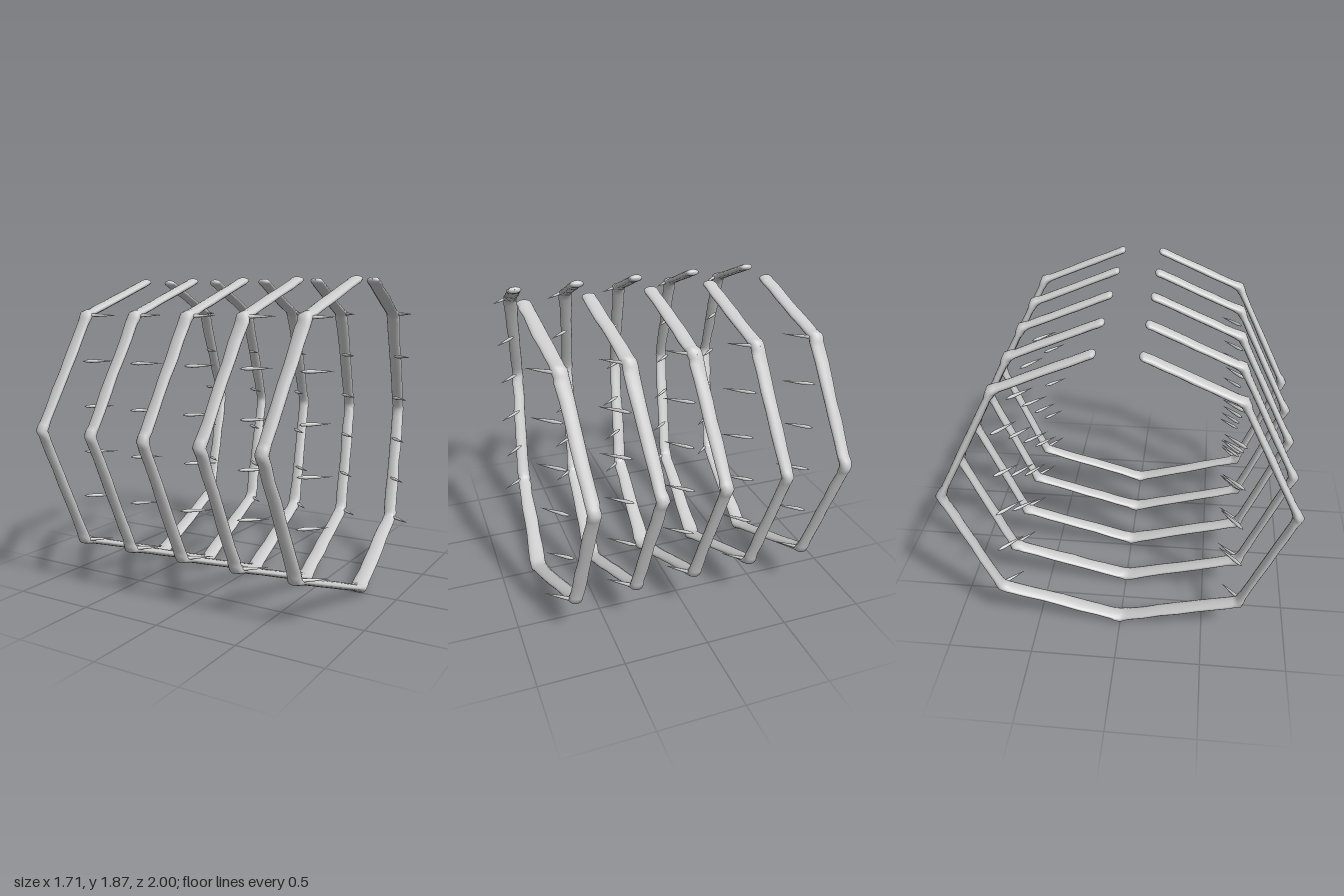
import * as THREE from 'three';

const material = new THREE.MeshStandardMaterial({ color: 0xcccccc, side: THREE.DoubleSide });

// small seeded generator for the hand-made irregularity
function seeded(seed) {
  let s = seed;
  return () => {
    s = (s * 16807) % 2147483647;
    return s / 2147483647 - 0.5;
  };
}

// half rib from upper tip to keel: x, y, z, half width
const HALF = [
  [-0.69, 1.855, 0.13, 0.04],
  [-0.747, 1.655, 0.64, 0.042],
  [-0.812, 1.0, 0.972, 0.037],
  [-0.755, 0.293, 0.71, 0.042],
  [-0.685, 0.034, 0, 0.05],
];
const PATH = [...HALF, ...HALF.slice(0, -1).reverse().map(([x, y, z, w]) => [x, y, -z, w])];
const STEPS = [0, 0.04, 0.08, 0.2, 0.35, 0.5, 0.65, 0.8, 0.92, 0.96];
const SIDES = 14;

// flattened bar swept along the bent path, swelling at each joint
function ribGeometry(rand) {
  const last = PATH.length - 1;
  const dir = i => {
    const a = PATH[i], b = PATH[i + 1];
    return new THREE.Vector3(0, b[1] - a[1], b[2] - a[2]).normalize();
  };
  const position = [], index = [];
  const ring = (c, t, w, h) => {
    for (let j = 0; j < SIDES; j++) {
      const a = (j / SIDES) * Math.PI * 2;
      const s = Math.sin(a) * h;
      position.push(c[0] + Math.cos(a) * w, c[1] + t.z * s, c[2] - t.y * s);
    }
  };
  // rounded tip, from the outside in or from the inside out
  const tip = (p, t, sign) => {
    const angles = [1.55, 1.2, 0.8, 0.4];
    if (sign > 0) angles.reverse();
    for (const a of angles) {
      const d = sign * 0.022 * Math.sin(a);
      ring([p[0], p[1] + t.y * d, p[2] + t.z * d], t, p[3] * Math.cos(a), 0.02 * Math.cos(a));
    }
  };

  tip(PATH[0], dir(0), -1);
  for (let i = 0; i < last; i++) {
    for (const f of STEPS) {
      const c = PATH[i].map((v, k) => v + (PATH[i + 1][k] - v) * f);
      const joint = f === 0 && i > 0;
      const t = joint ? dir(i).add(dir(i - 1)).normalize() : dir(i);
      const near = (i > 0 && f === 0.04) || (i < last - 1 && f === 0.96);
      c[0] += rand() * 0.006;
      ring(c, t, c[3] + rand() * 0.005, joint ? 0.03 : near ? 0.026 : 0.02 + rand() * 0.003);
    }
  }
  ring(PATH[last], dir(last - 1), PATH[last][3], 0.02);
  tip(PATH[last], dir(last - 1), 1);

  const rings = position.length / 3 / SIDES;
  for (let i = 0; i < rings - 1; i++) {
    for (let j = 0; j < SIDES; j++) {
      const a = i * SIDES + j, b = i * SIDES + ((j + 1) % SIDES);
      index.push(a, b, a + SIDES, b, b + SIDES, a + SIDES);
    }
  }
  const g = new THREE.BufferGeometry();
  g.setAttribute('position', new THREE.Float32BufferAttribute(position, 3));
  g.setIndex(index);
  g.computeVertexNormals();
  return g;
}

// slender thorn, thickest near its root, unit length along +y
const thornGeometry = new THREE.LatheGeometry(
  [[0, 0], [0.007, 0.08], [0.011, 0.25], [0.008, 0.55], [0.004, 0.8], [0, 1]]
    .map(([r, y]) => new THREE.Vector2(r, y)), 8);

// thorn roots: height and distance from the centre plane
const THORNS = [[1.655, 0.67], [1.383, 0.675], [1.112, 0.685], [0.84, 0.695], [0.567, 0.71], [0.295, 0.725]];

export function createModel() {
  const model = new THREE.Group();
  model.name = 'ribCage';
  const up = new THREE.Vector3(0, 1, 0);

  for (let i = 0; i < 5; i++) {
    const rand = seeded(101 + i * 977);
    const group = new THREE.Group();
    group.name = 'ribUnit' + (i + 1);
    group.position.x = i * 0.362;

    const rib = new THREE.Mesh(ribGeometry(rand), material);
    rib.name = 'rib';
    group.add(rib);

    // thorns lean inwards and towards +x on both flanks
    for (const side of [1, -1]) {
      for (const [y, z] of THORNS) {
        const thorn = new THREE.Mesh(thornGeometry, material);
        thorn.name = side > 0 ? 'frontThorn' : 'backThorn';
        thorn.position.set(-0.755 + rand() * 0.02, y, side * z);
        const lean = new THREE.Vector3(0.145 + rand() * 0.03, rand() * 0.006, -side * (0.125 + rand() * 0.03));
        thorn.scale.y = lean.length();
        thorn.quaternion.setFromUnitVectors(up, lean.normalize());
        group.add(thorn);
      }
    }
    model.add(group);
  }
  // centre on x
  model.position.x = 0.0;
  return model;
}
